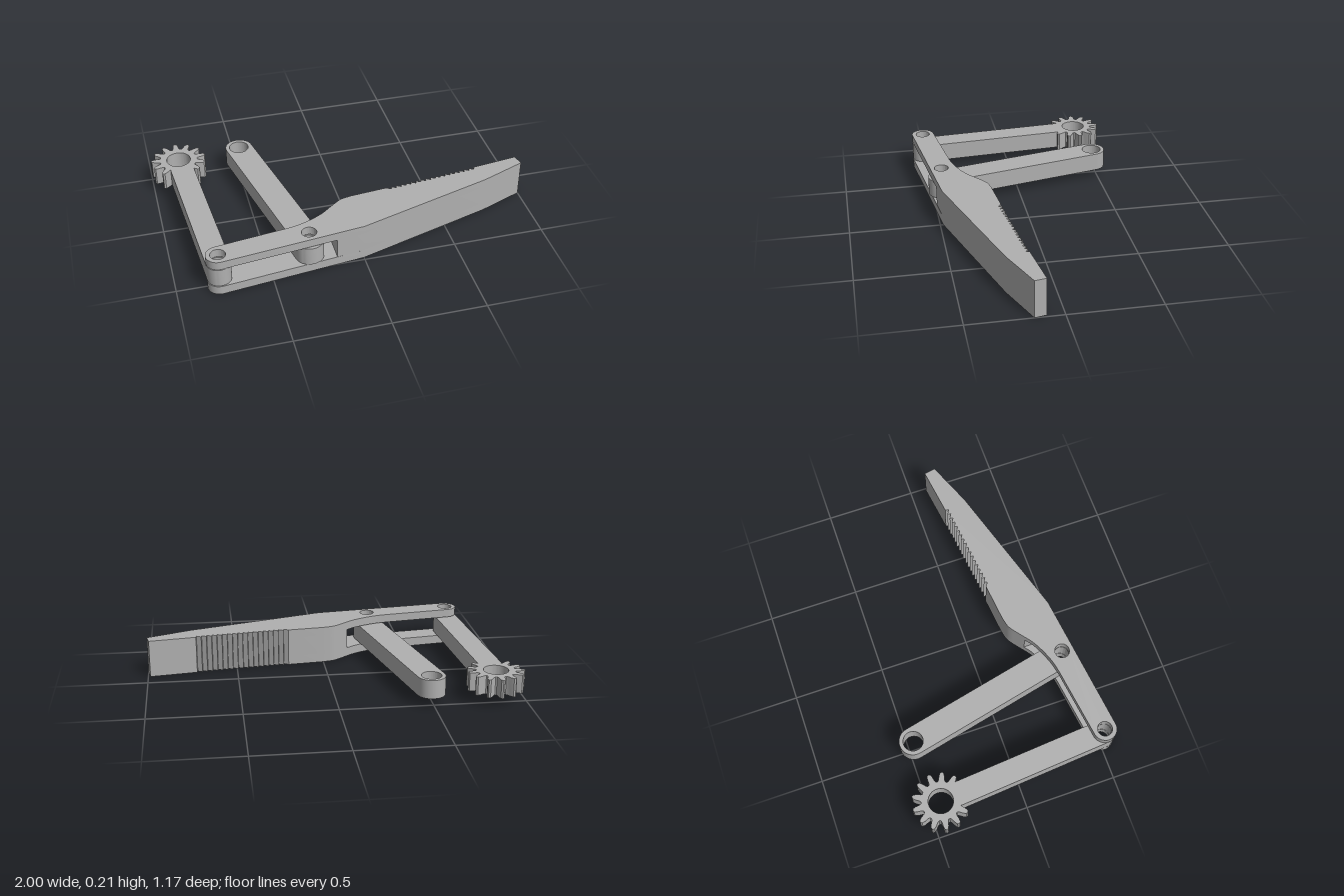
import * as THREE from 'three';
import { toCreasedNormals } from 'three/addons/utils/BufferGeometryUtils.js';

// Plan coordinates: [x, -z]; plates are extruded upwards in y.
const GEAR = [-0.845, 0.434], ELBOW = [-0.775, -0.514];
const LINK_TOP = [-0.49, 0.47], LINK_BOTTOM = [-0.289, -0.455];

const arc = ([cx, cy], r, a0, a1, n = 20) =>
  Array.from({ length: n + 1 }, (_, i) => {
    const a = a0 + (a1 - a0) * i / n;
    return [cx + r * Math.cos(a), cy + r * Math.sin(a)];
  });

function plate(name, points, holes, y0, y1, material) {
  const shape = new THREE.Shape(points.map(p => new THREE.Vector2(p[0], p[1])));
  for (const [c, r] of holes) {
    shape.holes.push(new THREE.Path().absarc(c[0], c[1], r, 0, Math.PI * 2, true));
  }
  let geo = new THREE.ExtrudeGeometry(shape, { depth: y1 - y0, bevelEnabled: false, curveSegments: 32 });
  geo.rotateX(-Math.PI / 2);
  geo.translate(0, y0, 0);
  geo = toCreasedNormals(geo, 0.42);
  const mesh = new THREE.Mesh(geo, material);
  mesh.name = name;
  return mesh;
}

// Jaw outline from the lower bend, round the tip and back along the serrated grip
function gripOutline() {
  const pts = [[0, -0.483], [0.753, -0.254], [1, -0.155], [0.988, -0.092]];
  const teeth = 18, x0 = 0.727, x1 = 0.203, y0 = -0.128, y1 = -0.19;
  for (let i = 0; i < teeth; i++) {
    const t = i / teeth, x = x0 + (x1 - x0) * t, y = y0 + (y1 - y0) * t;
    pts.push([x, y], [x - 0.003, y - 0.019]);
  }
  pts.push([x1, y1]);
  return pts;
}

// S-shaped shoulder between the grip and the fork
function shoulder() {
  const keys = [[0, -0.211], [-0.06, -0.226], [-0.12, -0.268], [-0.19, -0.322], [-0.265, -0.36], [-0.335, -0.385], [-0.4, -0.398]];
  const curve = new THREE.CatmullRomCurve3(keys.map(k => new THREE.Vector3(k[0], k[1], 0)));
  return curve.getPoints(32).map(p => [p.x, p.y]);
}

// Gear outline running straight into its arm
function gearArmOutline() {
  const teeth = 13, pitch = Math.PI * 2 / teeth, pts = [];
  const profile = [[-0.42, 0.104], [-0.31, 0.112], [-0.22, 0.135], [-0.13, 0.15], [0, 0.155],
    [0.13, 0.15], [0.22, 0.135], [0.31, 0.112], [0.42, 0.104]];
  // The two teeth over the arm are left out
  for (let i = -5; i <= 5; i++) {
    for (const [f, r] of profile) {
      const a = Math.PI / 2 + (i + f) * pitch;
      pts.push([GEAR[0] + r * Math.cos(a), GEAR[1] + r * Math.sin(a)]);
    }
  }
  const dir = Math.atan2(ELBOW[1] - GEAR[1], ELBOW[0] - GEAR[0]);
  const side = s => [GEAR[0] + 0.09 * Math.cos(dir) + 0.064 * Math.cos(dir + s * Math.PI / 2),
    GEAR[1] + 0.09 * Math.sin(dir) + 0.064 * Math.sin(dir + s * Math.PI / 2)];
  return [...pts, side(-1), ...arc(ELBOW, 0.064, dir - Math.PI / 2, dir + Math.PI / 2), side(1)];
}

export function createModel() {
  const group = new THREE.Group();
  group.name = 'gripperFinger';
  const grey = new THREE.MeshStandardMaterial({ color: 0xb0b0b0 });
  grey.name = 'grey';

  // Jaw: solid grip with an upper and a lower fork plate
  const grip = gripOutline(), curve = shoulder(), slotX = -0.15;
  const forkEnd = arc(ELBOW, 0.064, THREE.MathUtils.degToRad(97), THREE.MathUtils.degToRad(277));
  const full = [...grip, ...curve, ...forkEnd];
  const pins = [[ELBOW, 0.04], [LINK_BOTTOM, 0.04]];
  const solid = [...grip, ...curve.filter(p => p[0] > slotX), [slotX, -0.292], [slotX, -0.501]];
  const jaw = new THREE.Group();
  jaw.name = 'jaw';
  jaw.add(
    plate('lowerForkPlate', full, pins, 0, 0.05, grey),
    plate('gripCore', solid, [], 0.05, 0.163, grey),
    plate('upperForkPlate', full, pins, 0.163, 0.21, grey),
  );
  group.add(jaw);

  // Driving arm with its gear
  group.add(plate('gearArm', gearArmOutline(), [[GEAR, 0.067], [ELBOW, 0.04]], 0.055, 0.158, grey));

  // Plain parallel link with rounded ends
  const dir = Math.atan2(LINK_BOTTOM[1] - LINK_TOP[1], LINK_BOTTOM[0] - LINK_TOP[0]);
  const q = Math.PI / 2;
  const link = [...arc(LINK_BOTTOM, 0.076, dir - q, dir + q), ...arc(LINK_TOP, 0.076, dir + q, dir + 3 * q)];
  group.add(plate('parallelLink', link, [[LINK_TOP, 0.054], [LINK_BOTTOM, 0.04]], 0.055, 0.158, grey));

  return group;
}
